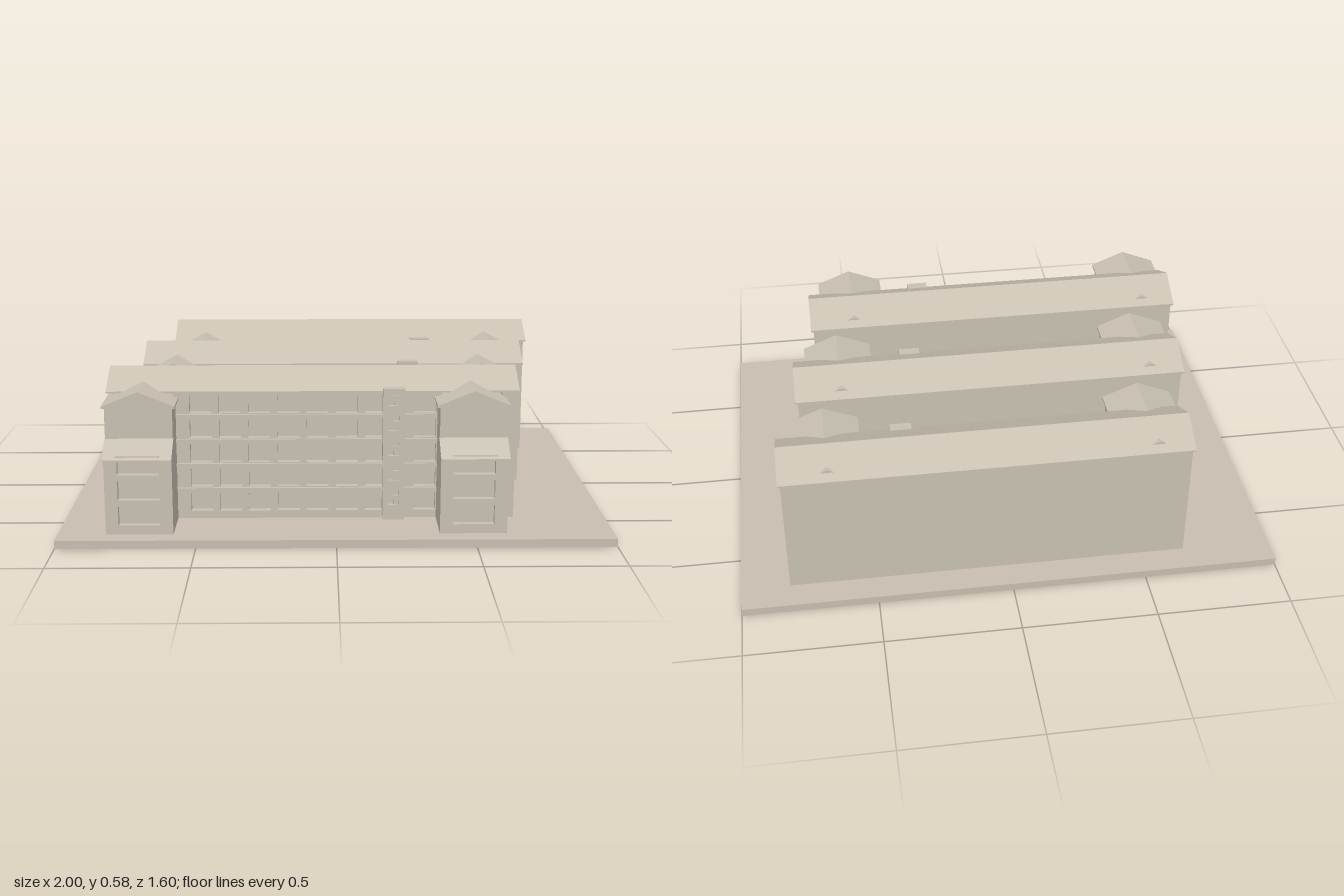
import * as THREE from 'three';

const buildingMat = new THREE.MeshStandardMaterial({ color: 0xc8c1b2 });
buildingMat.name = 'stone';
const groundMat = new THREE.MeshStandardMaterial({ color: 0xc8beb0 });
groundMat.name = 'ground';

function add(parent, name, geometry, mat = buildingMat) {
  const mesh = new THREE.Mesh(geometry, mat);
  mesh.name = name;
  parent.add(mesh);
  return mesh;
}

// Box given by its extents
function block(parent, name, x0, x1, y0, y1, z0, z1, mat) {
  const g = new THREE.BoxGeometry(x1 - x0, y1 - y0, z1 - z0);
  g.translate((x0 + x1) / 2, (y0 + y1) / 2, (z0 + z1) / 2);
  return add(parent, name, g, mat);
}

// Polygon in the x-y plane extruded from z0 to z1
function prismZ(parent, name, pts, z0, z1, holes = []) {
  const shape = new THREE.Shape(pts.map(p => new THREE.Vector2(...p)));
  for (const [a, b, c, d] of holes) {
    shape.holes.push(new THREE.Path([[a, c], [a, d], [b, d], [b, c]].map(p => new THREE.Vector2(...p))));
  }
  const g = new THREE.ExtrudeGeometry(shape, { depth: z1 - z0, bevelEnabled: false });
  g.translate(0, 0, z0);
  return add(parent, name, g);
}

// Polygon in (z, y) extruded from x0 to x1
function prismX(parent, name, pts, x0, x1) {
  const shape = new THREE.Shape(pts.map(([z, y]) => new THREE.Vector2(-z, y)));
  const g = new THREE.ExtrudeGeometry(shape, { depth: x1 - x0, bevelEnabled: false });
  g.rotateY(Math.PI / 2);
  g.translate(x0, 0, 0);
  return add(parent, name, g);
}

const rect = (x0, x1, y0, y1) => [[x0, y0], [x1, y0], [x1, y1], [x0, y1]];
const BASE = 0.03;

// Projecting wing with gable roof and a lower lean-to in front
function createWing(cx) {
  const wing = new THREE.Group();
  wing.name = 'wing';
  const w = 0.121;
  block(wing, 'wingWalls', -w, w, BASE, 0.484, 0.09, 0.255);
  prismZ(wing, 'wingRoof', [[-0.131, 0.48], [0.131, 0.48], [0.131, 0.488], [0, 0.541], [-0.131, 0.488]], -0.105, 0.268);

  // Lean-to with three recessed windows
  prismX(wing, 'leanToCore', [[0.25, BASE], [0.296, BASE], [0.296, 0.325], [0.25, 0.355]], -w, w);
  const holes = [0.064, 0.158, 0.25].map((y, i) => [-0.074, 0.074, y, y + (i === 2 ? 0.056 : 0.07)]);
  prismZ(wing, 'leanToFront', rect(-w, w, BASE, 0.312), 0.296, 0.32, holes);
  prismX(wing, 'leanToRoof', [[0.25, 0.36], [0.346, 0.306], [0.346, 0.313], [0.25, 0.371]], -0.123, 0.123);
  block(wing, 'windowHead', -0.078, 0.078, 0.308, 0.324, 0.325, 0.335);
  wing.position.x = cx;
  return wing;
}

function createBuilding() {
  const b = new THREE.Group();
  b.name = 'building';

  // Main walls and long gable roof
  block(b, 'mainCore', -0.735, 0.742, BASE, 0.512, -0.11, 0.105);
  block(b, 'backWall', -0.745, 0.742, BASE, 0.512, -0.122, -0.11);
  block(b, 'endReturn', 0.69, 0.742, BASE, 0.512, 0.105, 0.133);
  prismX(b, 'mainRoof', [[-0.138, 0.507], [0.14, 0.507], [0.14, 0.514], [0, 0.582], [-0.138, 0.514]], -0.753, 0.752);

  // Front wall with a grid of recessed windows
  const holes = [];
  const columns = [0, 1, 2, 3, 4, 5, 6].map(i => -0.452 + i * 0.107);
  columns.push(0.37);
  for (let row = 0; row < 5; row++) {
    const y = 0.059 + row * 0.0928;
    for (const x of columns) holes.push([x, x + (x > 0.15 && x < 0.3 ? 0.064 : 0.08), y, y + 0.068]);
  }
  prismZ(b, 'frontWall', rect(-0.51, 0.47, BASE, 0.51), 0.105, 0.13, holes);

  // Floor bands
  for (let row = 1; row < 5; row++) {
    const y = 0.059 + row * 0.0928 - 0.016;
    block(b, 'floorBand', -0.505, 0.465, y, y + 0.013, 0.12, 0.142);
  }

  // Stair tower with a stack of narrow openings
  block(b, 'stairCore', 0.254, 0.334, BASE, 0.525, 0.11, 0.14);
  const slots = [0, 1, 2, 3, 4].map(i => [0.275, 0.313, 0.086 + i * 0.094, 0.142 + i * 0.094]);
  prismZ(b, 'stairFront', rect(0.254, 0.334, BASE, 0.525), 0.14, 0.156, slots);
  for (const s of slots) block(b, 'stairLedge', 0.295, 0.313, s[2], s[2] + 0.035, 0.138, 0.15);

  b.add(createWing(-0.623), createWing(0.575));
  return b;
}

export function createModel() {
  const model = new THREE.Group();
  model.name = 'buildingComplex';
  block(model, 'groundSlab', -1, 1, 0, BASE, -0.8, 0.8, groundMat);

  // Three staggered rows
  for (const [x, z] of [[-0.082, 0.41], [-0.002, -0.082], [0.078, -0.573]]) {
    const b = createBuilding();
    b.position.set(x, 0, z);
    model.add(b);
  }
  return model;
}
